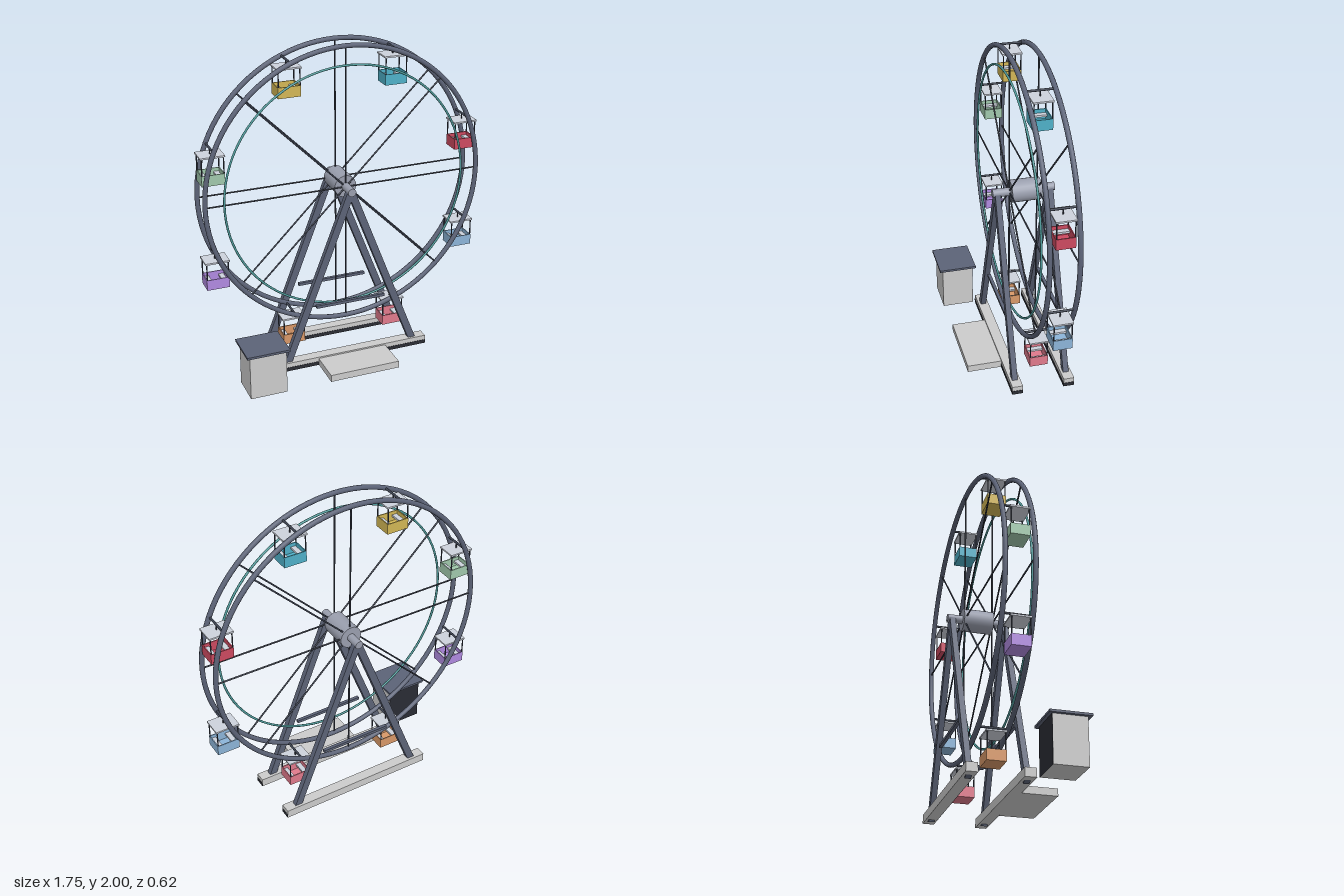
import * as THREE from 'three';

const mat = (color, extra = {}) => new THREE.MeshStandardMaterial({ color, ...extra });
const steel = mat(0x5c6377), darkSteel = mat(0x3c4250), hubGrey = mat(0x9a9fae);
const grey = mat(0xcccccc), dark = mat(0x2a2c34), teal = mat(0x4f9a9a), roofGrey = mat(0xcdd2dc);

const HUB_Y = 1.125, R = 0.86, RING_Z = [-0.03, -0.2], MID_Z = -0.115;
const LEG_Z = [0.043, -0.277];

function add(parent, name, geometry, material, x = 0, y = 0, z = 0) {
  const mesh = new THREE.Mesh(geometry, material);
  mesh.name = name;
  mesh.position.set(x, y, z);
  parent.add(mesh);
  return mesh;
}

// box given by its lower and upper corners
function block(parent, name, material, [x0, y0, z0], [x1, y1, z1]) {
  return add(parent, name, new THREE.BoxGeometry(x1 - x0, y1 - y0, z1 - z0), material,
    (x0 + x1) / 2, (y0 + y1) / 2, (z0 + z1) / 2);
}

// cylinder lying along z
function zRod(parent, name, radius, z0, z1, material, x, y, sides = 24) {
  const geo = new THREE.CylinderGeometry(radius, radius, Math.abs(z1 - z0), sides).rotateX(Math.PI / 2);
  return add(parent, name, geo, material, x, y, (z0 + z1) / 2);
}

// passenger cabin with its origin at the pivot bar
function makeCabin(color) {
  const cabin = new THREE.Group();
  cabin.name = 'cabin';
  const paint = mat(color);
  const w = 0.069, d = 0.056, t = 0.006, y0 = -0.21, y1 = -0.145;
  block(cabin, 'cabinFloor', paint, [-w, y0, -d], [w, y0 + t, d]);
  for (const s of [-1, 1]) {
    add(cabin, 'cabinSideWall', new THREE.BoxGeometry(t, y1 - y0, 2 * d), paint, s * (w - t / 2), (y0 + y1) / 2, 0);
    add(cabin, 'cabinEndWall', new THREE.BoxGeometry(2 * w, y1 - y0, t), paint, 0, (y0 + y1) / 2, s * (d - t / 2));
    add(cabin, 'cabinBench', new THREE.BoxGeometry(0.03, 0.012, 2 * d - 2 * t), roofGrey, s * 0.045, -0.172, 0);
    for (const q of [-1, 1])
      add(cabin, 'cabinPost', new THREE.CylinderGeometry(0.004, 0.004, 0.11, 8), darkSteel, s * (w - 0.004), -0.095, q * (d - 0.004));
  }
  block(cabin, 'cabinRoof', roofGrey, [-0.074, -0.045, -0.059], [0.074, -0.035, 0.059]);
  add(cabin, 'cabinHanger', new THREE.CylinderGeometry(0.004, 0.004, 0.038, 8), darkSteel, 0, -0.019, 0);
  return cabin;
}

export function createModel() {
  const model = new THREE.Group();
  model.name = 'ferrisWheel';

  // wheel rims, spokes and inner light ring
  const wheel = new THREE.Group();
  wheel.name = 'wheel';
  model.add(wheel);
  for (const z of RING_Z) {
    add(wheel, 'rim', new THREE.TorusGeometry(R, 0.015, 10, 96), steel, 0, HUB_Y, z);
    for (let i = 0; i < 8; i++) {
      const a = i * Math.PI / 4;
      const spoke = add(wheel, 'spoke', new THREE.CylinderGeometry(0.005, 0.005, R, 8), darkSteel,
        Math.cos(a) * R / 2, HUB_Y + Math.sin(a) * R / 2, z);
      spoke.rotation.z = a - Math.PI / 2;
    }
  }
  add(wheel, 'lightRing', new THREE.TorusGeometry(0.75, 0.007, 8, 96), teal, 0, HUB_Y, -0.015);

  // hub and axle
  zRod(wheel, 'hub', 0.068, -0.215, -0.035, hubGrey, 0, HUB_Y);
  zRod(model, 'axle', 0.025, -0.305, 0.073, hubGrey, 0, HUB_Y);

  // pivot bars and upright hanging cabins
  const colors = [0xcc4a60, 0x4fb0c8, 0xd2b655, 0xa0c8ac, 0xb08ae0, 0xd89868, 0xe07a8c, 0x8cb4d8];
  colors.forEach((color, i) => {
    const a = (i + 0.5) * Math.PI / 4;
    const x = Math.cos(a) * R, y = HUB_Y + Math.sin(a) * R;
    zRod(wheel, 'pivotBar', 0.007, RING_Z[0], RING_Z[1], darkSteel, x, y, 10);
    const cabin = makeCabin(color);
    cabin.position.set(x, y, MID_Z);
    wheel.add(cabin);
  });

  // A-frames with cross braces, each on a ground beam
  const top = new THREE.Vector2(0, HUB_Y), foot = new THREE.Vector2(0.432, 0.008);
  for (const z of LEG_Z) {
    for (const s of [-1, 1]) {
      const leg = add(model, 'leg', new THREE.BoxGeometry(0.044, top.distanceTo(foot), 0.034), steel,
        s * foot.x / 2, (top.y + foot.y) / 2, z);
      leg.rotation.z = s * Math.atan2(foot.x, top.y - foot.y);
    }
    block(model, 'crossBrace', steel, [-0.222, 0.391, z - 0.01], [0.222, 0.409, z + 0.01]);
    block(model, 'groundBeam', grey, [-0.498, 0.012, z - 0.033], [0.498, 0.065, z + 0.032]);
    // dark skirting on the front and one end
    block(model, 'beamSkirt', dark, [-0.498, 0.012, z + 0.032], [0.498, 0.036, z + 0.034]);
    block(model, 'beamEndSkirt', dark, [0.498, 0.012, z - 0.033], [0.5, 0.036, z + 0.034]);
  }

  // boarding platform
  block(model, 'platform', grey, [-0.222, 0.012, 0.07], [0.222, 0.056, 0.287]);

  // ticket booth
  block(model, 'boothBody', grey, [-0.725, 0.012, 0.091], [-0.5, 0.292, 0.288]);
  block(model, 'boothBackPanel', dark, [-0.725, 0.012, 0.089], [-0.5, 0.292, 0.091]);
  block(model, 'boothRoof', steel, [-0.745, 0.29, 0.07], [-0.482, 0.304, 0.308]);

  return model;
}
